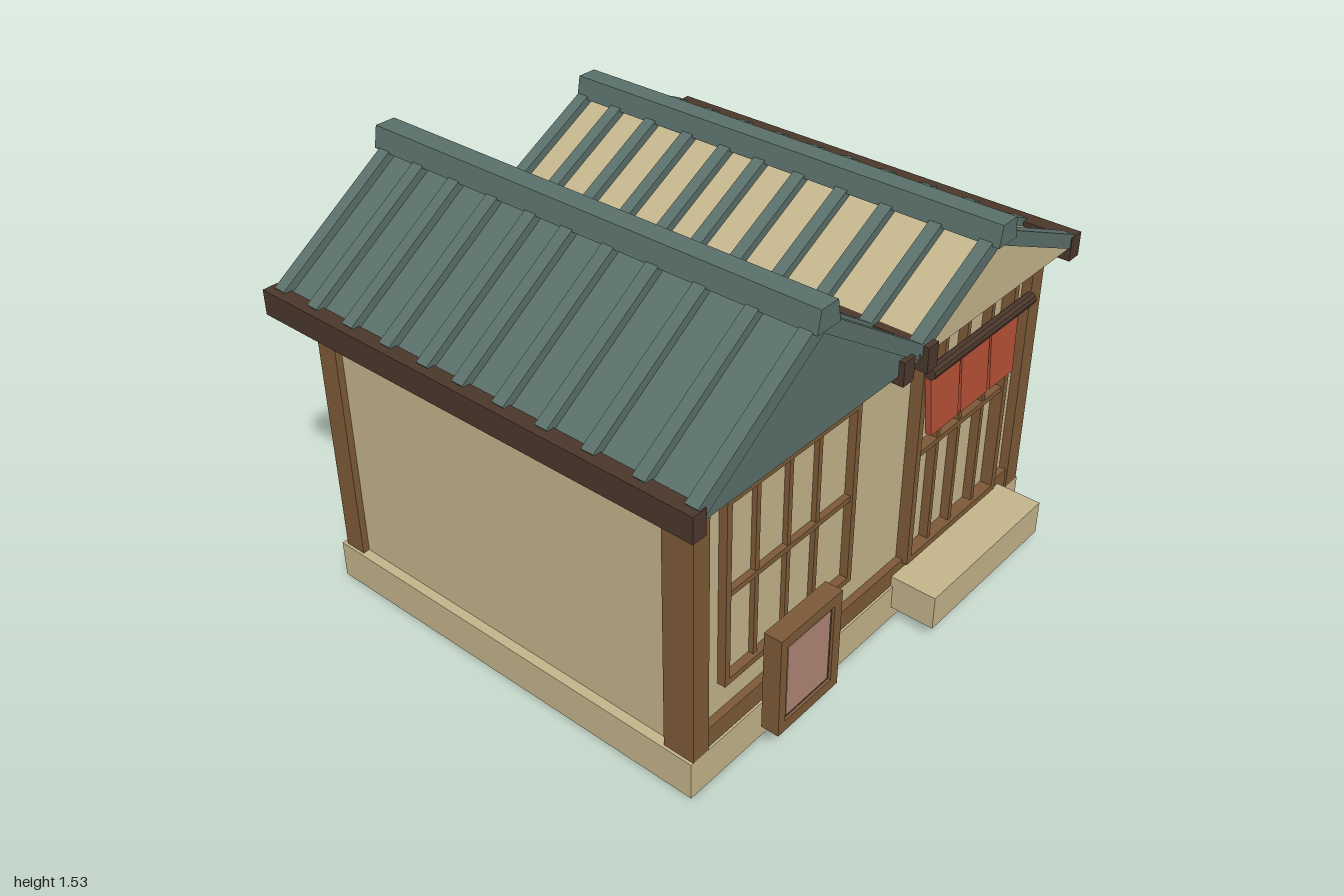
import * as THREE from 'three';

const mat = (name, color) => {
  const m = new THREE.MeshStandardMaterial({ color, flatShading: true, side: THREE.DoubleSide });
  m.name = name;
  return m;
};

export function createModel() {
  const plaster = mat('plaster', 0xc3b48b);
  const tile = mat('teal tile', 0x5a706a);
  const wood = mat('wood', 0x7d5a38);
  const darkWood = mat('dark wood', 0x4b372c);
  const cloth = mat('red cloth', 0xb54f35);
  const pink = mat('sign pink', 0xb08576);

  const house = new THREE.Group();
  house.name = 'house';
  const add = (parent, name, geo, material) => {
    const mesh = new THREE.Mesh(geo, material);
    mesh.name = name;
    parent.add(mesh);
    return mesh;
  };
  const group = (name) => {
    const g = new THREE.Group();
    g.name = name;
    house.add(g);
    return g;
  };
  // Box given by its two extreme corners
  const box = (parent, name, material, x0, x1, y0, y1, z0, z1) => {
    const m = add(parent, name, new THREE.BoxGeometry(x1 - x0, y1 - y0, z1 - z0), material);
    m.position.set((x0 + x1) / 2, (y0 + y1) / 2, (z0 + z1) / 2);
    return m;
  };
  // Outline in x and y, pulled from z0 to z1
  const prism = (parent, name, material, points, z0, z1) => {
    const shape = new THREE.Shape(points.map(([x, y]) => new THREE.Vector2(x, y)));
    const geo = new THREE.ExtrudeGeometry(shape, { depth: z1 - z0, bevelEnabled: false });
    geo.translate(0, 0, z0);
    return add(parent, name, geo, material);
  };

  // Foundation, step and walls
  box(house, 'foundation', plaster, -0.92, 0.92, 0, 0.14, -0.82, 0.765);
  box(house, 'doorStep', plaster, 0.12, 0.79, 0.05, 0.18, 0.75, 0.93);
  box(house, 'walls', plaster, -0.885, 0.885, 0.14, 1.1, -0.785, 0.73);
  box(house, 'sillBeam', wood, -0.84, 0.84, 0.14, 0.215, 0.7, 0.757);

  // Corner posts
  for (const s of [-1, 1]) {
    const x0 = s < 0 ? -0.91 : 0.84, x1 = x0 + 0.07;
    box(house, 'frontPost', wood, x0, x1, 0.14, 1.1, 0.65, 0.765);
    box(house, 'backPost', wood, x0, x1, 0.14, 1.1, -0.803, -0.72);
  }

  // Lattice: outer frame plus bars
  const lattice = (name, x0, x1, y0, y1, z1, bar, uprights, rails) => {
    const g = group(name);
    const h = bar / 2, z0 = 0.72;
    for (const x of [x0 + h, x1 - h]) box(g, 'frameSide', wood, x - h, x + h, y0, y1, z0, z1);
    for (const y of [y0 + h, y1 - h]) box(g, 'frameRail', wood, x0 + bar, x1 - bar, y - h, y + h, z0, z1);
    for (const x of uprights) box(g, 'upright', wood, x - 0.009, x + 0.009, y0 + bar, y1 - bar, z0, z1 - 0.012);
    for (const y of rails) box(g, 'crossRail', wood, x0 + bar, x1 - bar, y - 0.01, y + 0.01, z0, z1 - 0.008);
  };
  lattice('window', -0.76, -0.13, 0.33, 1.02, 0.76, 0.022, [-0.605, -0.455, -0.315], [0.665]);
  lattice('door', 0.18, 0.735, 0.2, 1.09, 0.775, 0.025, [0.325, 0.455, 0.6], [0.635, 1.045]);

  // Curtain: rod and three hanging panels
  const curtain = group('curtain');
  const rod = add(curtain, 'rod', new THREE.CylinderGeometry(0.022, 0.022, 0.6, 10), darkWood);
  rod.rotation.z = Math.PI / 2;
  rod.position.set(0.445, 1.0, 0.815);
  const panels = [
    [[0.182, 0.98], [0.195, 0.74], [0.35, 0.74], [0.352, 0.98]],
    [[0.36, 0.98], [0.367, 0.74], [0.525, 0.74], [0.528, 0.98]],
    [[0.537, 0.98], [0.542, 0.74], [0.688, 0.74], [0.705, 0.98]],
  ];
  for (const p of panels) {
    const panel = prism(curtain, 'clothPanel', cloth, p, 0, 0.022);
    // Lean the lower edge outwards
    const pos = panel.geometry.attributes.position;
    for (let i = 0; i < pos.count; i++) pos.setZ(i, pos.getZ(i) + 0.775 + (0.98 - pos.getY(i)) * 0.06);
    panel.geometry.computeVertexNormals();
  }

  // Sign board
  const sign = group('signBoard');
  box(sign, 'signBack', wood, -0.645, -0.345, 0.115, 0.495, 0.81, 0.862);
  box(sign, 'signBorder', darkWood, -0.613, -0.382, 0.155, 0.455, 0.861, 0.865);
  box(sign, 'signFace', pink, -0.602, -0.393, 0.167, 0.443, 0.864, 0.869);
  for (const [x0, x1] of [[-0.645, -0.613], [-0.382, -0.345]])
    box(sign, 'signSide', wood, x0, x1, 0.115, 0.495, 0.86, 0.875);
  for (const [y0, y1] of [[0.115, 0.155], [0.455, 0.495]])
    box(sign, 'signRail', wood, -0.613, -0.382, y0, y1, 0.86, 0.875);

  // Gabled roof with ribs running down both slopes and a ridge cap
  const ribZ = [-0.875, -0.715, -0.55, -0.38, -0.215, -0.065, 0.1, 0.27, 0.445, 0.63, 0.812];
  const roof = (name, material, left, right, ridgeX, eaveY, ridgeY, z0, z1, capZ0, capZ1) => {
    const g = group(name);
    prism(g, 'roofBody', material,
      [[left, 1.1], [right, 1.1], [right, eaveY], [ridgeX, ridgeY], [left, eaveY]], z0, z1);
    for (const x of [left, right]) {
      const dx = ridgeX - x, dy = ridgeY - eaveY;
      const len = Math.hypot(dx, dy);
      for (const z of ribZ) {
        const rib = add(g, 'rib', new THREE.BoxGeometry(len, 0.05, 0.046), tile);
        rib.rotation.z = Math.atan(dy / dx);
        rib.position.set((x + ridgeX) / 2, (eaveY + ridgeY) / 2 + 0.005, z);
      }
    }
    const y = ridgeY - 0.005;
    prism(g, 'ridgeCap', tile, [[ridgeX - 0.052, y], [ridgeX + 0.052, y],
      [ridgeX + 0.038, y + 0.075], [ridgeX - 0.038, y + 0.075]], capZ0, capZ1);
  };
  roof('leftRoof', tile, -0.96, 0.045, -0.455, 1.13, 1.465, -0.915, 0.83, -0.92, 0.85);
  roof('rightRoof', plaster, 0.045, 0.95, 0.458, 1.125, 1.345, -0.87, 0.825, -0.9, 0.86);
  box(house, 'soffit', plaster, -0.94, 0.0, 1.093, 1.1, -0.9, 0.82);

  // Eave and valley beams
  box(house, 'leftEaveBeam', darkWood, -1.0, -0.945, 1.06, 1.15, -0.925, 0.84);
  box(house, 'rightEaveBeam', darkWood, 0.94, 1.0, 1.06, 1.148, -0.885, 0.838);
  box(house, 'leftValleyBeam', darkWood, -0.06, -0.005, 1.07, 1.155, -0.925, 0.85);
  box(house, 'rightValleyBeam', darkWood, 0.06, 0.113, 1.06, 1.15, -0.94, 0.855);

  return house;
}
